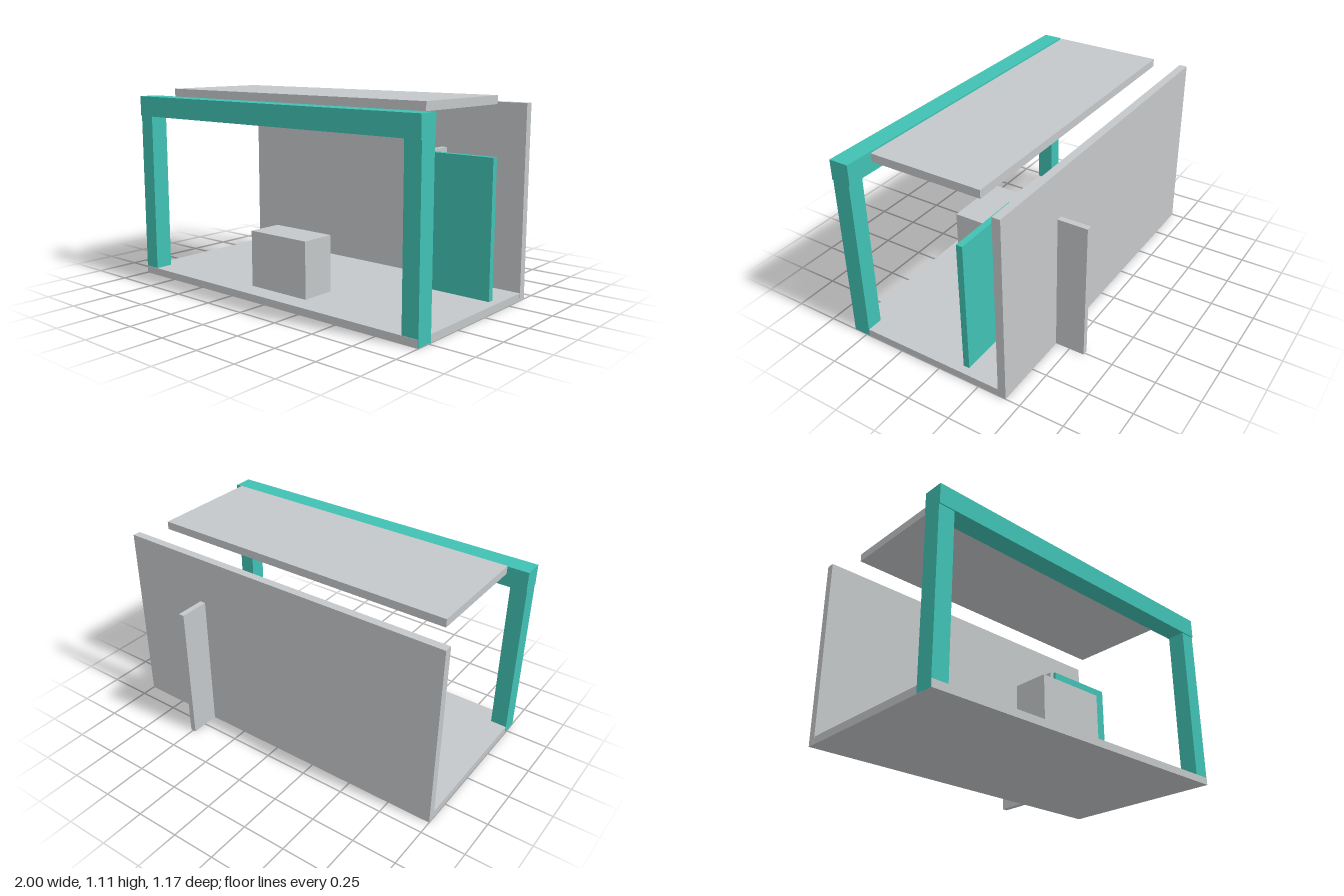
import * as THREE from 'three';

export function createModel() {
  const model = new THREE.Group();
  const grey = new THREE.MeshStandardMaterial({ color: 0xc4c7c9 });
  grey.name = 'light grey';
  const teal = new THREE.MeshStandardMaterial({ color: 0x40c1b3 });
  teal.name = 'teal';

  // Adds a box spanning the given [min, max] ranges
  function slab(name, material, [x0, x1], [y0, y1], [z0, z1]) {
    const mesh = new THREE.Mesh(new THREE.BoxGeometry(x1 - x0, y1 - y0, z1 - z0), material);
    mesh.position.set((x0 + x1) / 2, (y0 + y1) / 2, (z0 + z1) / 2);
    mesh.name = name;
    model.add(mesh);
  }

  // Base, rear wall and floating roof
  slab('floor', grey, [-0.999, 0.999], [0, 0.042], [-0.415, 0.583]);
  slab('backWall', grey, [-1, 1], [0, 1.066], [-0.417, -0.371]);
  slab('roof', grey, [-0.903, 0.9], [1.063, 1.109], [-0.241, 0.407]);

  // Front portal frame
  slab('leftPost', teal, [0.905, 1], [0.001, 0.956], [0.479, 0.581]);
  slab('rightPost', teal, [-1, -0.905], [0.001, 0.956], [0.479, 0.581]);
  slab('frontBeam', teal, [-1, 1], [0.954, 1.069], [0.473, 0.587]);

  // Inner panel and the partition passing through the rear wall
  slab('screenPanel', teal, [0.505, 0.952], [0.001, 0.8], [-0.161, -0.125]);
  slab('partition', grey, [0.481, 0.514], [0.001, 0.799], [-0.587, -0.143]);

  // Counter standing behind the opening
  slab('counter', grey, [-0.2, 0.2], [0.04, 0.356], [0.266, 0.468]);

  return model;
}
